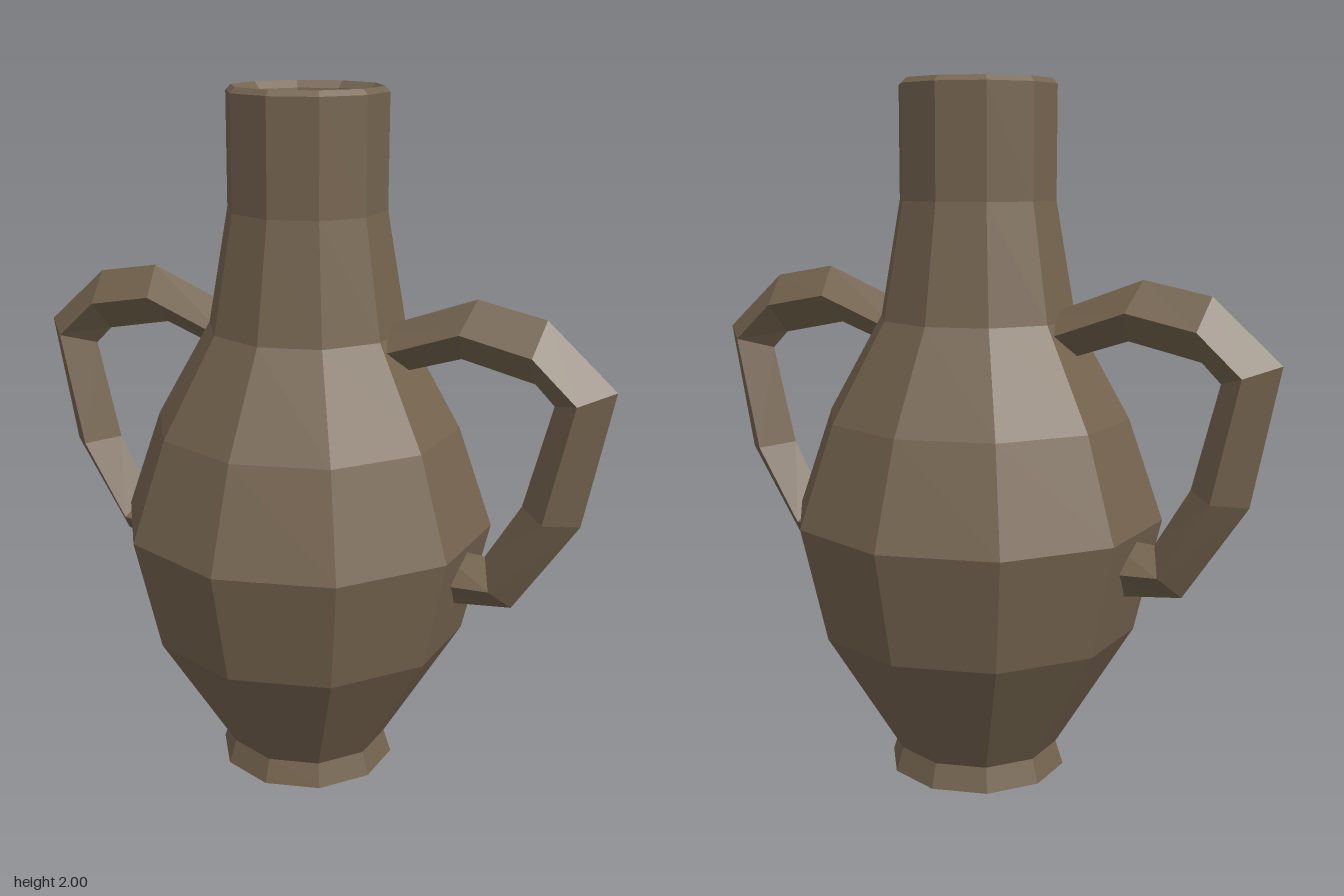
import * as THREE from 'three';

// Ten-sided vessel: foot, belly, neck, rim and hollow inside
const PROFILE = [
  [0, 0], [0.262, 0], [0.24, 0.07], [0.465, 0.44], [0.54, 0.77], [0.44, 1.06],
  [0.283, 1.34], [0.225, 1.67], [0.225, 1.985], [0.21, 2], [0.19, 1.98], [0, 0.9],
];

// Handle stations: outer ridge x, y and inner ridge x, y
const HANDLE = [
  [0.2, 1.35, 0.2, 1.21],
  [0.51, 1.467, 0.47, 1.3],
  [0.704, 1.432, 0.68, 1.257],
  [0.9, 1.263, 0.735, 1.204],
  [0.825, 0.88, 0.66, 0.91],
  [0.643, 0.605, 0.56, 0.743],
  [0.4, 0.573, 0.4, 0.75],
];

// Diamond cross-sections joined along the handle, closed at both ends
function handleGeometry(halfWidth) {
  const rings = HANDLE.map(([ox, oy, ix, iy]) => {
    const mx = (ox + ix) / 2, my = (oy + iy) / 2;
    return [[ox, oy, 0], [mx, my, halfWidth], [ix, iy, 0], [mx, my, -halfWidth]];
  });
  const pos = [];
  const quad = (a, b, c, d) => pos.push(...a, ...b, ...c, ...a, ...c, ...d);
  for (let s = 0; s < rings.length - 1; s++) {
    for (let k = 0; k < 4; k++) {
      const n = (k + 1) % 4;
      quad(rings[s][k], rings[s][n], rings[s + 1][n], rings[s + 1][k]);
    }
  }
  const first = rings[0], last = rings[rings.length - 1];
  quad(first[3], first[2], first[1], first[0]);
  quad(last[0], last[1], last[2], last[3]);
  const geo = new THREE.BufferGeometry();
  geo.setAttribute('position', new THREE.Float32BufferAttribute(pos, 3));
  geo.computeVertexNormals();
  return geo;
}

export function createModel() {
  const group = new THREE.Group();
  group.name = 'vase';
  const clay = new THREE.MeshStandardMaterial({ color: 0x75644f, flatShading: true });

  const points = PROFILE.map(([r, y]) => new THREE.Vector2(r, y));
  const body = new THREE.Mesh(new THREE.LatheGeometry(points, 10), clay);
  body.name = 'body';
  group.add(body);

  // Matching handles on both sides
  const geo = handleGeometry(0.078);
  ['leftHandle', 'rightHandle'].forEach((name, i) => {
    const handle = new THREE.Mesh(geo, clay);
    handle.name = name;
    handle.rotation.y = i * Math.PI;
    group.add(handle);
  });
  return group;
}
